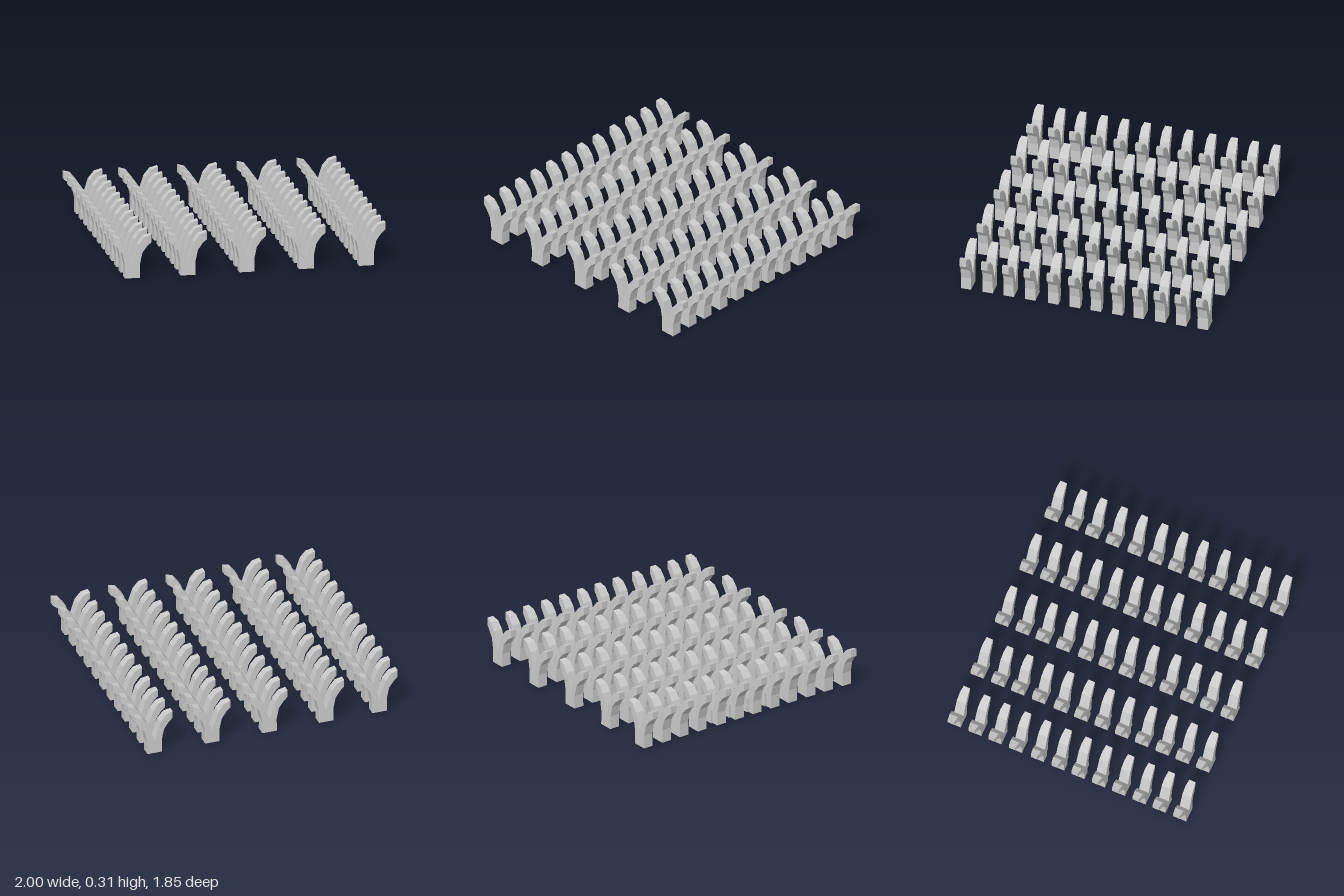
import * as THREE from 'three';

// Cross-sections from foot to tip: [outer x, outer y, inner x, inner y, thickness]
const SECTIONS = [
  [0.055, 0, 0, 0, 0.078],
  [0.055, 0.1, 0, 0.1, 0.075],
  [0.073, 0.183, 0.046, 0.243, 0.071],
  [0.11, 0.233, 0.089, 0.297, 0.064],
  [0.142, 0.257, 0.142, 0.313, 0.05],
];

// One curved arm, swept through the cross-sections; side = 1 or -1 mirrors it in x
function armGeometry(side) {
  const positions = [];
  const index = [];
  const quad = (a, b, c, d) => {
    if (side > 0) index.push(a, b, c, a, c, d);
    else index.push(a, c, b, a, d, c);
  };
  for (const [ox, oy, ix, iy, t] of SECTIONS) {
    positions.push(side * ox, oy, t / 2, side * ox, oy, -t / 2);
    positions.push(side * ix, iy, -t / 2, side * ix, iy, t / 2);
  }
  const last = (SECTIONS.length - 1) * 4;
  for (let s = 0; s < last; s += 4) {
    for (let k = 0; k < 4; k++) {
      const n = (k + 1) % 4;
      quad(s + k, s + n, s + 4 + n, s + 4 + k);
    }
  }
  quad(3, 2, 1, 0);
  quad(last, last + 1, last + 2, last + 3);

  const indexed = new THREE.BufferGeometry();
  indexed.setAttribute('position', new THREE.Float32BufferAttribute(positions, 3));
  indexed.setIndex(index);
  const geometry = indexed.toNonIndexed();
  geometry.computeVertexNormals();
  return geometry;
}

export function createModel() {
  const model = new THREE.Group();
  model.name = 'forkedHookField';
  const material = new THREE.MeshStandardMaterial({ color: 0xcccccc, flatShading: true });
  const leftGeometry = armGeometry(1);
  const rightGeometry = armGeometry(-1);

  const columns = [-0.858, -0.451, -0.019, 0.417, 0.857];
  const rows = [0.079, 0.24, 0.405, 0.567, 0.724, 0.886];

  columns.forEach((x) => {
    const column = new THREE.Group();
    column.name = 'hookColumn';
    column.position.x = x;
    rows.forEach((rowZ, i) => {
      // the inner rows have their two arms slightly staggered in depth
      const stagger = i < 2 ? 0.007 : 0;
      for (const z of [rowZ, -rowZ]) {
        const hook = new THREE.Group();
        hook.name = 'forkedHook';
        hook.position.z = z;
        const left = new THREE.Mesh(leftGeometry, material);
        left.name = 'leftArm';
        left.position.z = -stagger;
        const right = new THREE.Mesh(rightGeometry, material);
        right.name = 'rightArm';
        right.position.z = stagger;
        hook.add(left, right);
        column.add(hook);
      }
    });
    model.add(column);
  });
  return model;
}
